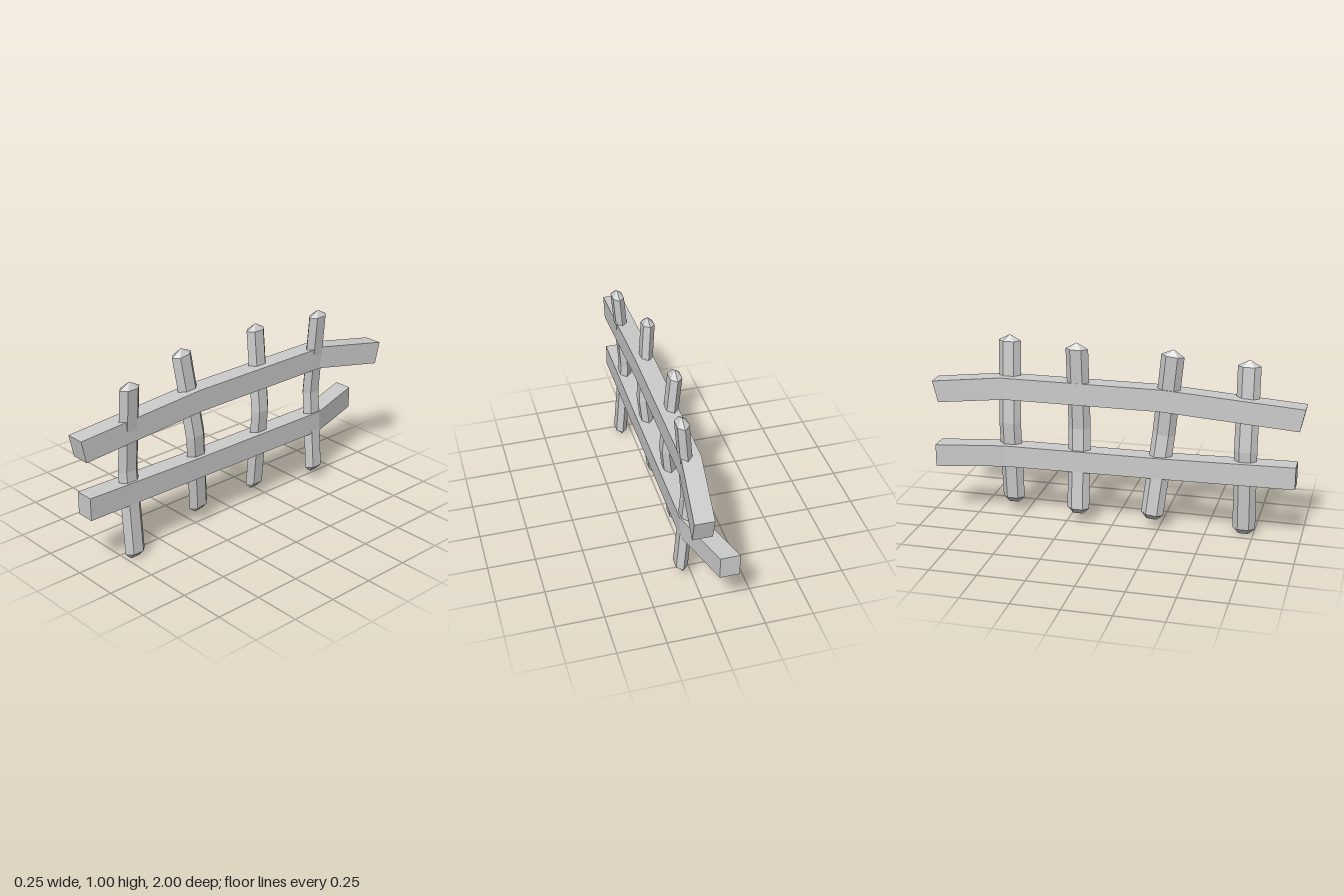
import * as THREE from 'three';

const material = new THREE.MeshStandardMaterial({ color: 0xcccccc, flatShading: true });

// Skins a list of equal-length rings and closes both ends.
function loft(name, rings) {
  const pos = [];
  const tri = (a, b, c) => {
    const area = b.clone().sub(a).cross(c.clone().sub(a)).length();
    if (area > 1e-7) for (const p of [a, b, c]) pos.push(p.x, p.y, p.z);
  };
  const n = rings[0].length;
  for (let r = 0; r < rings.length - 1; r++) {
    const a = rings[r], b = rings[r + 1];
    for (let i = 0; i < n; i++) {
      const j = (i + 1) % n;
      tri(a[i], a[j], b[j]);
      tri(a[i], b[j], b[i]);
    }
  }
  const first = rings[0], last = rings[rings.length - 1];
  for (let i = 1; i < n - 1; i++) {
    tri(first[0], first[i + 1], first[i]);
    tri(last[0], last[i], last[i + 1]);
  }
  const geometry = new THREE.BufferGeometry();
  geometry.setAttribute('position', new THREE.Float32BufferAttribute(pos, 3));
  geometry.computeVertexNormals();
  const mesh = new THREE.Mesh(geometry, material);
  mesh.name = name;
  return mesh;
}

// Rail stations run front to back: [x centre, top y, top z, bottom y, bottom z]
function rail(name, stations) {
  const h = 0.05;
  return loft(name, stations.map(([x, ty, tz, by, bz]) => [
    new THREE.Vector3(x - h, ty, tz),
    new THREE.Vector3(x + h, ty, tz),
    new THREE.Vector3(x + h, by, bz),
    new THREE.Vector3(x - h, by, bz),
  ]));
}

// Flattened hexagonal picket, bent sideways at the middle, with a ridge
// at the foot and a pyramid at the head.
const hexagon = [[0.03, 0.03], [0.03, -0.03], [0, -0.06], [-0.03, -0.03], [-0.03, 0.03], [0, 0.06]];

function picket(name, { z, bottom, top, endX, midX, tilt = 0 }) {
  const mid = (bottom + top) / 2;
  // [y, x centre, x scale, z scale]
  const stations = [
    [bottom, endX, 0, 0.45],
    [bottom + 0.033, endX, 1, 1],
    [mid, midX, 1, 1],
    [top - 0.033, endX, 1, 1],
    [top, endX, 0, 0],
  ];
  const mesh = loft(name, stations.map(([y, x, sx, sz]) =>
    hexagon.map(([hx, hz]) => new THREE.Vector3(x + hx * sx, y - mid, hz * sz))));
  mesh.position.set(0, mid, z);
  mesh.rotation.x = tilt;
  return mesh;
}

export function createModel() {
  const fence = new THREE.Group();
  fence.name = 'fence';

  // Rails
  fence.add(rail('upperRail', [
    [0.022, 0.74, 1.0, 0.622, 0.975],
    [0.022, 0.788, 0.27, 0.67, 0.26],
    [0.022, 0.788, -0.6, 0.67, -0.58],
    [0.075, 0.725, -1.0, 0.608, -0.97],
  ]));
  fence.add(rail('lowerRail', [
    [0.022, 0.428, 0.965, 0.308, 0.965],
    [0.022, 0.414, 0.27, 0.3, 0.27],
    [0.022, 0.41, -0.59, 0.293, -0.59],
    [-0.078, 0.422, -0.935, 0.302, -0.935],
  ]));

  // Pickets, front to back
  const pickets = [
    { z: 0.7, bottom: 0, top: 0.955, endX: 0.06, midX: 0.024 },
    { z: 0.27, bottom: 0.06, top: 1.005, endX: -0.01, midX: 0.03, tilt: 0.112 },
    { z: -0.182, bottom: 0.057, top: 1.005, endX: -0.014, midX: 0.028 },
    { z: -0.565, bottom: 0.057, top: 1.005, endX: 0.06, midX: 0.024 },
  ];
  pickets.forEach((p, i) => fence.add(picket(`picket${i + 1}`, p)));

  return fence;
}
